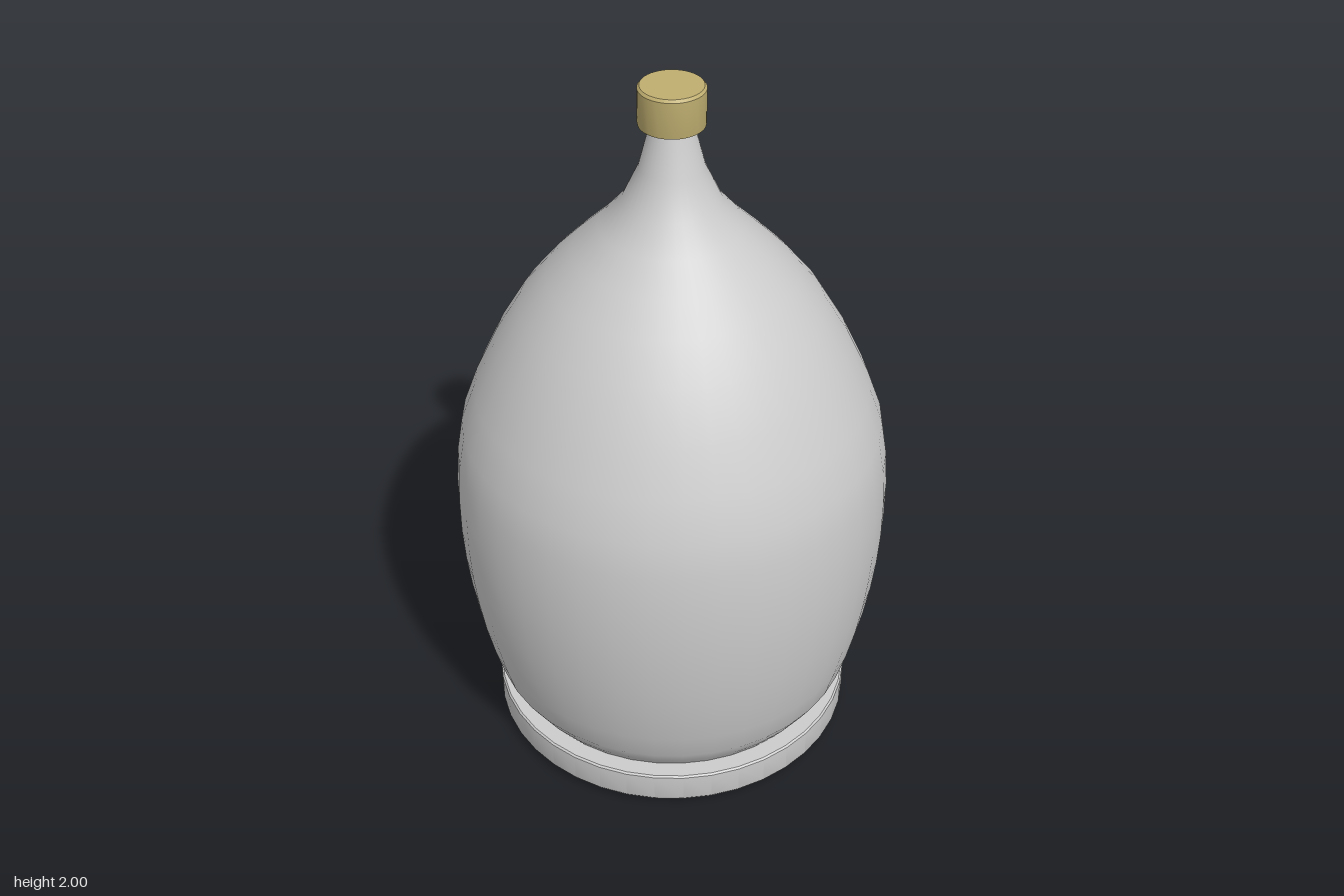
import * as THREE from 'three';
import { toCreasedNormals } from 'three/addons/utils/BufferGeometryUtils.js';

const SIDES = 40;

// Turned part from [radius, height] pairs listed bottom to top
function turned(name, profile, color, creased) {
  const points = profile.map(([r, y]) => new THREE.Vector2(r, y));
  let geometry = new THREE.LatheGeometry(points, SIDES);
  if (creased) geometry = toCreasedNormals(geometry, 0.6);
  const mesh = new THREE.Mesh(geometry, new THREE.MeshStandardMaterial({ color }));
  mesh.name = name;
  return mesh;
}

export function createModel() {
  const model = new THREE.Group();
  model.name = 'bottle';

  // Flat foot disc with a slightly eased lower edge
  model.add(turned('base', [
    [0, 0], [0.4, 0], [0.485, 0.007], [0.507, 0.013], [0.515, 0.025],
    [0.515, 0.105], [0.51, 0.11], [0, 0.11],
  ], 0xcccccc, true));

  // Swelling body drawn in to a narrow flared neck
  model.add(turned('body', [
    [0.455, 0.1], [0.49, 0.15], [0.52, 0.2], [0.545, 0.29], [0.567, 0.39],
    [0.583, 0.49], [0.594, 0.59], [0.6, 0.69], [0.6, 0.8], [0.592, 0.91],
    [0.575, 1.01], [0.535, 1.12], [0.475, 1.25], [0.405, 1.37], [0.33, 1.465],
    [0.26, 1.54], [0.19, 1.61], [0.13, 1.68], [0.086, 1.775], [0.054, 1.9],
  ], 0xcccccc, false));

  // Brass-coloured stopper
  model.add(turned('cap', [
    [0, 1.895], [0.086, 1.895], [0.087, 1.9], [0.087, 1.993], [0.081, 2], [0, 2],
  ], 0xbfae70, true));

  return model;
}
